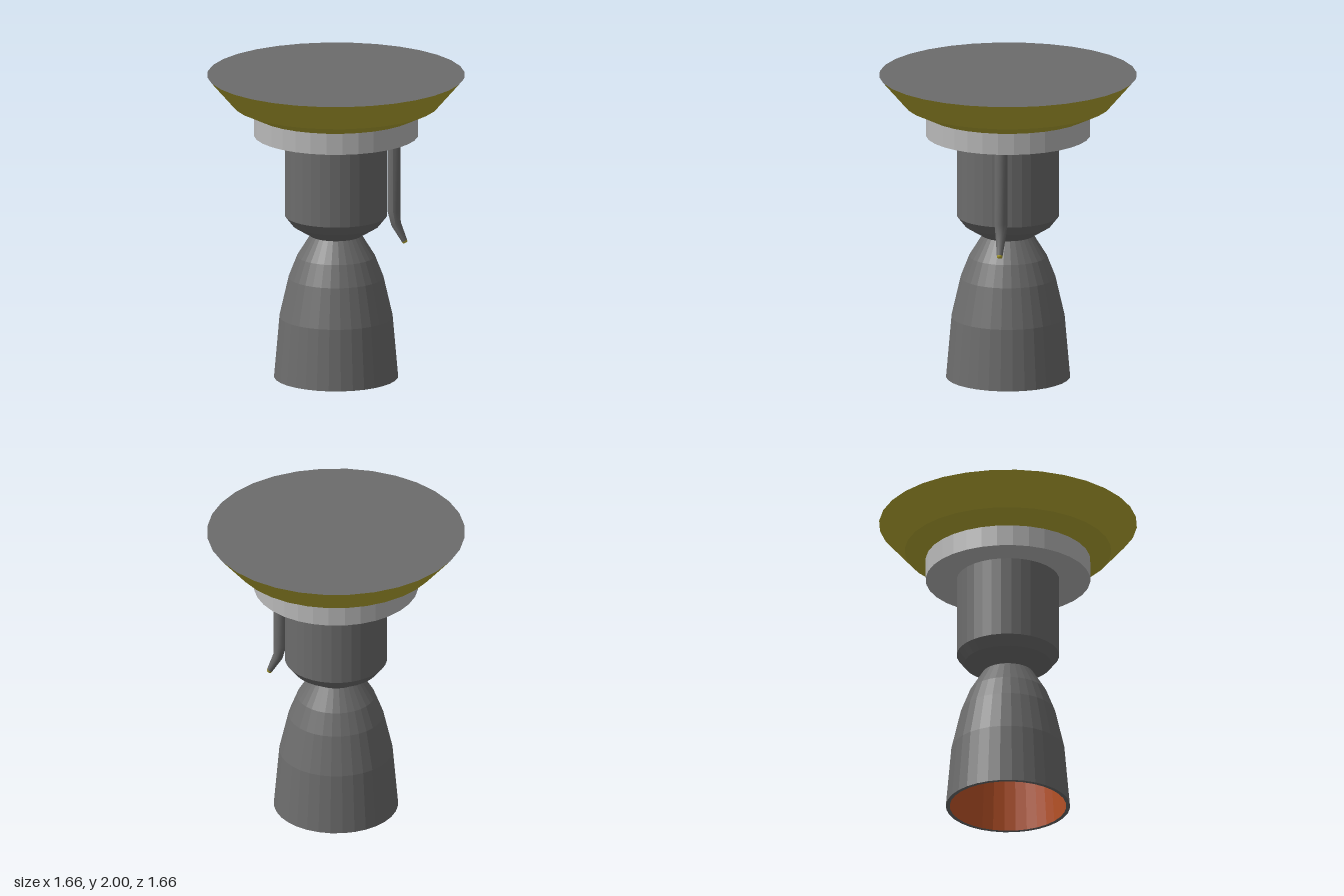
import * as THREE from 'three';

const SIDES = 32;

const material = (name, color, side = THREE.FrontSide) => {
  const m = new THREE.MeshStandardMaterial({ color, side });
  m.name = name;
  return m;
};

// Give every facet its own normal
function faceted(geometry) {
  const g = geometry.toNonIndexed();
  g.computeVertexNormals();
  return g;
}

// Faceted turned part from [radius, height] points, listed upward for an outer skin
function turned(name, profile, mat) {
  const points = profile.map(([r, y]) => new THREE.Vector2(r, y));
  const mesh = new THREE.Mesh(faceted(new THREE.LatheGeometry(points, SIDES)), mat);
  mesh.name = name;
  return mesh;
}

// Tapered bent tube through rings of [x, y, radius, tilt], listed from the top down
function bentTube(name, rings, mat, capped = false) {
  const list = capped ? [...rings, [...rings.at(-1).with(2, 0)]] : rings;
  const steps = list.length - 1;
  const g = new THREE.CylinderGeometry(1, 1, 1, 12, steps, true);
  const p = g.attributes.position;
  for (let i = 0; i < p.count; i++) {
    const [x, y, r, tilt] = list[Math.round((0.5 - p.getY(i)) * steps)];
    const across = p.getX(i) * r;
    p.setXYZ(i, x + across * Math.cos(tilt), y + across * Math.sin(tilt), p.getZ(i) * r);
  }
  g.computeVertexNormals();
  const mesh = new THREE.Mesh(g, mat);
  mesh.name = name;
  return mesh;
}

export function createModel() {
  const darkGrey = material('dark grey metal', 0x6c6c6c);
  const lightGrey = material('light grey metal', 0xb8b8b8);
  const yellow = material('mustard yellow', 0xb5a832);
  const orange = material('hot orange', 0xbc5428);

  const engine = new THREE.Group();
  engine.name = 'rocketEngine';

  engine.add(
    // Bell nozzle with its rim
    turned('nozzleBell', [[0.375, 0], [0.4, 0], [0.365, 0.4], [0.305, 0.66], [0.25, 0.8], [0.165, 0.937]], darkGrey),
    // Glowing inside of the bell, closed at the throat
    turned('nozzleInside', [[0, 0.92], [0.145, 0.92], [0.23, 0.79], [0.285, 0.65], [0.343, 0.4], [0.375, 0]], orange),
    // Combustion chamber
    turned('chamber', [[0.165, 0.937], [0.28, 1.007], [0.33, 1.07], [0.33, 1.605]], darkGrey),
    // Mounting collar
    turned('collar', [[0.32, 1.605], [0.53, 1.605], [0.53, 1.745]], lightGrey),
    // Flared mount and its flat top
    turned('flaredMount', [[0.53, 1.745], [0.665, 1.81], [0.83, 2]], yellow),
    turned('topPlate', [[0.83, 2], [0, 2]], darkGrey),
    // Exhaust pipe on the left side
    bentTube('exhaustPipe', [
      [0.375, 1.61, 0.043, 0], [0.375, 1.11, 0.043, 0],
      [0.389, 1.022, 0.033, 0.4], [0.443, 0.912, 0.019, 0.5],
    ], darkGrey),
    bentTube('exhaustTip', [[0.443, 0.912, 0.019, 0.5], [0.449, 0.9, 0.016, 0.5]], yellow, true),
  );
  return engine;
}
